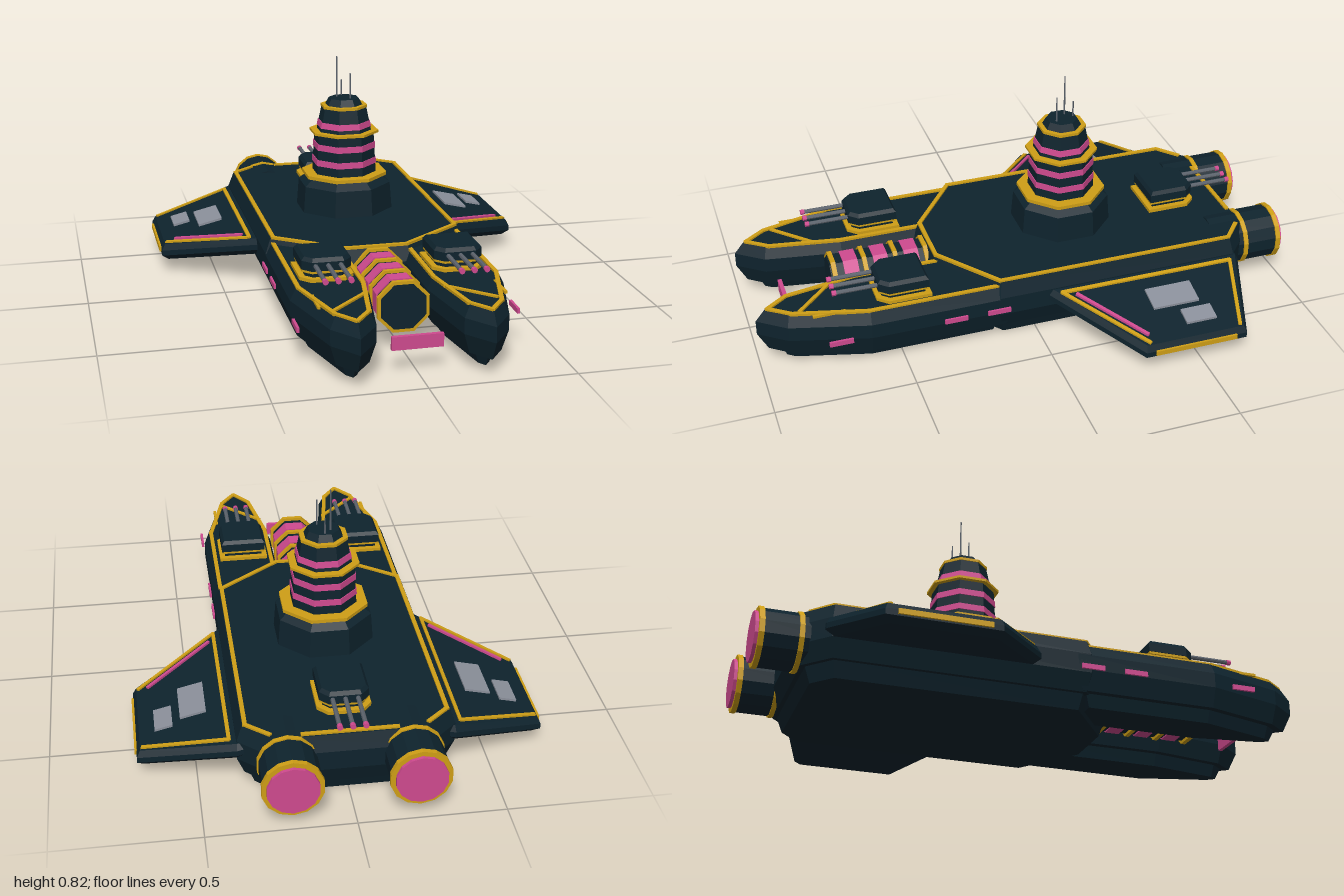
import * as THREE from 'three';
import { mergeGeometries } from 'three/addons/utils/BufferGeometryUtils.js';

const paint = (name, color) => {
  const m = new THREE.MeshStandardMaterial({ color });
  m.name = name;
  m.flatShading = true;
  return m;
};

// Convex outline in x,z stacked through [height, inset] layers.
function loft(outline, layers) {
  const n = outline.length;
  let area = 0;
  outline.forEach(([x, z], i) => {
    const [u, w] = outline[(i + 1) % n];
    area += x * w - u * z;
  });
  const pts = area > 0 ? outline : [...outline].reverse();
  const normals = pts.map(([x, z], i) => {
    const [u, w] = pts[(i + 1) % n];
    const l = Math.hypot(u - x, w - z);
    return [(w - z) / l, (x - u) / l];
  });
  const rings = layers.map(([y, d]) => pts.map(([x, z], i) => {
    const a = normals[(i + n - 1) % n], b = normals[i];
    const k = d / (1 + a[0] * b[0] + a[1] * b[1]);
    return [x - (a[0] + b[0]) * k, y, z - (a[1] + b[1]) * k];
  }));
  const v = [];
  const tri = (...c) => c.forEach((p) => v.push(...p));
  for (let r = 0; r + 1 < rings.length; r++) {
    const lo = rings[r], hi = rings[r + 1];
    for (let i = 0; i < n; i++) {
      const j = (i + 1) % n;
      tri(lo[i], hi[i], hi[j]);
      tri(lo[i], hi[j], lo[j]);
    }
  }
  const bottom = rings[0], top = rings[rings.length - 1];
  for (let i = 1; i + 1 < n; i++) {
    tri(bottom[0], bottom[i], bottom[i + 1]);
    tri(top[0], top[i + 1], top[i]);
  }
  const g = new THREE.BufferGeometry();
  g.setAttribute('position', new THREE.Float32BufferAttribute(v, 3));
  g.computeVertexNormals();
  return g;
}

// Thin raised line along a path on a deck.
function strip(path, y, w = 0.015) {
  const parts = [];
  for (let i = 0; i + 1 < path.length; i++) {
    const [x, z] = path[i], [u, t] = path[i + 1];
    const g = new THREE.BoxGeometry(w, 0.009, Math.hypot(u - x, t - z) + w * 0.6);
    g.rotateY(Math.atan2(u - x, t - z));
    parts.push(g.translate((x + u) / 2, y, (z + t) / 2));
  }
  return mergeGeometries(parts);
}

const box = (w, h, d, x, y, z) => new THREE.BoxGeometry(w, h, d).translate(x, y, z);
// Prism along y; for eight sides the flats face the axes and r is the half-width.
const octagon = (r0, r1, y0, y1) => {
  const k = Math.cos(Math.PI / 8);
  return new THREE.CylinderGeometry(r1 / k, r0 / k, y1 - y0, 8)
    .rotateY(Math.PI / 8).translate(0, (y0 + y1) / 2, 0);
};

export function createModel() {
  const hull = paint('dark hull', 0x0e232d);
  const gold = paint('gold trim', 0xcf9f16);
  const pink = paint('pink glow', 0xcf4a8f);
  const grey = paint('grey panel', 0x8b909b);
  const steel = paint('gun steel', 0x5b626b);

  const ship = new THREE.Group();
  ship.name = 'spaceship';
  const add = (parent, name, geometry, material) => {
    const m = new THREE.Mesh(geometry, material);
    m.name = name;
    parent.add(m);
    return m;
  };
  const group = (name, x = 0, y = 0, z = 0) => {
    const g = new THREE.Group();
    g.name = name;
    g.position.set(x, y, z);
    ship.add(g);
    return g;
  };

  // Main hull
  add(ship, 'mainHull', loft(
    [[0.12, 0.34], [0.37, 0.15], [0.37, -0.76], [0.26, -0.86],
      [-0.26, -0.86], [-0.37, -0.76], [-0.37, 0.15], [-0.12, 0.34]],
    [[0, 0.06], [0.055, 0.04], [0.055, 0.025], [0.12, 0], [0.19, 0], [0.245, 0.02]]), hull);
  add(ship, 'bowTrim', strip([[-0.34, 0.14], [-0.11, 0.315], [0.11, 0.315], [0.34, 0.14]], 0.247), gold);
  add(ship, 'sternTrim', strip([[-0.16, -0.828], [0.16, -0.828]], 0.247), gold);

  // Turret with three barrels pointing along dir
  function turret(name, x, y, z, dir) {
    const t = group(name, x, y, z);
    const plan = [[-0.085, -0.09], [0.085, -0.09], [0.085, 0.055], [0.055, 0.088],
      [-0.055, 0.088], [-0.085, 0.055]].map(([a, b]) => [a, b * dir]);
    add(t, 'turretBase', loft(plan, [[0, -0.008], [0.013, -0.008]]), gold);
    add(t, 'turretNeck', loft(plan, [[0.013, 0.012], [0.028, 0.012]]), hull);
    add(t, 'turretRing', loft(plan, [[0.028, 0.002], [0.037, 0.002]]), gold);
    add(t, 'turretBody', loft(plan, [[0.037, 0], [0.068, 0], [0.081, 0.01]]), hull);
    for (const bx of [-0.043, 0, 0.043]) {
      const barrel = (r, a, b) => new THREE.CylinderGeometry(r, r, b - a, 8)
        .rotateX(Math.PI / 2).translate(bx, 0.056, dir * (a + b) / 2);
      add(t, 'barrel', barrel(0.008, 0.07, 0.235), steel);
      add(t, 'muzzle', barrel(0.01, 0.235, 0.25), pink);
    }
  }
  turret('rearTurret', 0, 0.245, -0.635, -1);

  for (const s of [1, -1]) {
    const side = s > 0 ? 'left' : 'right';
    const flip = (pts) => pts.map(([x, z]) => [x * s, z]);

    // Forward prong
    add(ship, side + 'Prong', loft(
      flip([[0.37, 0.1], [0.37, 0.62], [0.295, 0.9], [0.22, 1], [0.145, 0.9], [0.1, 0.62], [0.1, 0.1]]),
      [[0.015, 0.06], [0.06, 0.045], [0.06, 0.022], [0.13, 0], [0.185, 0], [0.226, 0.02]]), hull);
    add(ship, side + 'ProngTrim', strip(flip([[0.342, 0.12], [0.342, 0.62], [0.275, 0.88],
      [0.22, 0.955], [0.165, 0.88], [0.122, 0.62], [0.122, 0.31]]), 0.228), gold);
    add(ship, side + 'ProngDiagonal', strip(flip([[0.135, 0.715], [0.27, 0.85]]), 0.228, 0.013), gold);
    add(ship, side + 'ProngEdge', strip(flip([[0.312, 0.7], [0.312, 0.81]]), 0.226, 0.01), gold);
    add(ship, side + 'DeckTrim', strip(flip([[0.34, 0.14], [0.34, -0.75], [0.265, -0.815]]), 0.247), gold);
    turret(side + 'FrontTurret', s * 0.23, 0.225, 0.485, 1);

    // Side lights
    for (const z of [0.155, 0.315, 0.73]) {
      add(ship, side + 'SideLight', box(0.009, 0.018, 0.085, s * 0.373, 0.14, z), pink);
    }

    // Engine
    const engine = group(side + 'Engine', s * 0.21, 0.152, 0);
    const drum = (r, a, b) => new THREE.CylinderGeometry(r, r, b - a, 14)
      .rotateX(Math.PI / 2).translate(0, 0, (a + b) / 2);
    add(engine, 'engineBody', drum(0.1, -0.985, -0.72), hull);
    add(engine, 'engineFrontRing', drum(0.105, -0.855, -0.838), gold);
    add(engine, 'engineRearRing', drum(0.105, -0.988, -0.97), gold);
    add(engine, 'engineGlow', drum(0.088, -1, -0.98), pink);

    // Drooping wing, laid out flat and then sheared down toward the tip
    const wing = group(side + 'Wing');
    const droop = (g) => {
      const p = g.attributes.position;
      for (let i = 0; i < p.count; i++) {
        p.setY(i, p.getY(i) - (Math.abs(p.getX(i)) - 0.37) * 0.24);
      }
      g.computeVertexNormals();
      return g;
    };
    add(wing, 'wingPanel', droop(loft(
      flip([[0.3, 0.02], [0.37, -0.035], [0.7, -0.28], [0.7, -0.665], [0.37, -0.78], [0.3, -0.78]]),
      [[0.12, 0.025], [0.145, 0], [0.165, 0], [0.186, 0.012]])), hull);
    add(wing, 'wingTrim', droop(strip(flip([[0.68, -0.3], [0.393, -0.075], [0.393, -0.735], [0.68, -0.645]]),
      0.188, 0.013)), gold);
    add(wing, 'wingGlowLine', droop(strip(flip([[0.645, -0.305], [0.415, -0.125]]), 0.19, 0.012)), pink);
    add(wing, 'wingLargePanel', droop(box(0.09, 0.009, 0.175, s * 0.5, 0.19, -0.457)), grey);
    add(wing, 'wingSmallPanel', droop(box(0.062, 0.009, 0.115, s * 0.603, 0.19, -0.517)), grey);
    add(wing, 'wingTipBar', box(0.009, 0.018, 0.31, s * 0.702, 0.08, -0.47), gold);
  }

  // Banded core between the prongs
  const core = group('core', 0, 0.157, 0);
  const along = (r, a, b) => octagon(r, r, a, b).rotateX(Math.PI / 2);
  add(core, 'coreBody', along(0.078, 0.3, 0.69), hull);
  for (const z of [0.39, 0.505, 0.617]) add(core, 'coreBand', along(0.083, z - 0.027, z + 0.027), pink);
  for (const z of [0.335, 0.45, 0.565]) add(core, 'coreRing', along(0.088, z - 0.008, z + 0.008), gold);
  add(core, 'coreFrontRing', along(0.089, 0.672, 0.689), gold);
  add(core, 'coreFace', along(0.072, 0.68, 0.693), hull);
  add(ship, 'bowBar', box(0.174, 0.046, 0.015, 0, 0.104, 0.862), pink);

  // Command tower: [name, lower half-width, upper half-width, from y, to y, material]
  const tower = group('tower', 0, 0, -0.207);
  for (const [name, r0, r1, y0, y1, m] of [
    ['towerBase', 0.172, 0.164, 0.24, 0.345, hull],
    ['towerShoulder', 0.164, 0.13, 0.345, 0.373, hull],
    ['lowerBalcony', 0.152, 0.152, 0.373, 0.386, gold],
    ['towerMiddle', 0.114, 0.106, 0.386, 0.541, hull],
    ['lowerWindows', 0.115, 0.114, 0.419, 0.442, pink],
    ['upperWindows', 0.112, 0.111, 0.479, 0.502, pink],
    ['upperBalcony', 0.123, 0.123, 0.539, 0.548, gold],
    ['towerTop', 0.097, 0.08, 0.548, 0.636, hull],
    ['bridgeWindows', 0.097, 0.093, 0.562, 0.584, pink],
    ['crownRing', 0.083, 0.083, 0.635, 0.645, gold],
    ['towerCap', 0.066, 0.053, 0.645, 0.67, hull],
  ]) add(tower, name, octagon(r0, r1, y0, y1), m);
  for (const [x, z, top] of [[-0.023, -0.018, 0.825], [0.019, 0.027, 0.767], [0, -0.043, 0.73]]) {
    add(tower, 'antenna', new THREE.CylinderGeometry(0.0025, 0.0035, top - 0.66, 6)
      .translate(x, (top + 0.66) / 2, z), steel);
  }
  return ship;
}
